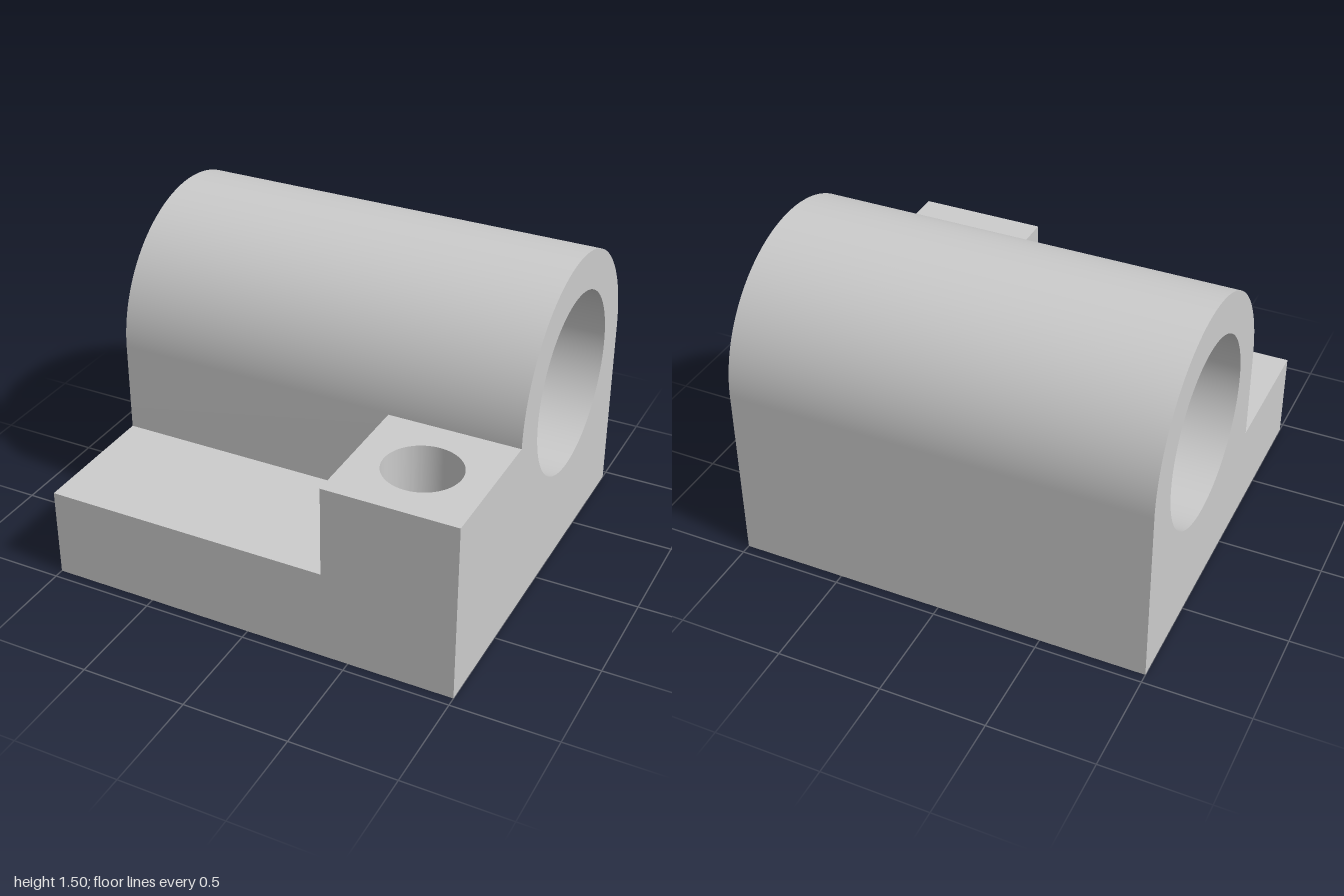
import * as THREE from 'three';
import { toCreasedNormals } from 'three/addons/utils/BufferGeometryUtils.js';

const HALF_X = 1, HALF_Z = 0.953;
const AXIS_Y = 0.875, AXIS_Z = -0.328, OUTER_R = 0.625, BORE_R = 0.4375;
const STEP_Z = AXIS_Z + OUTER_R;          // front of the housing, back of the flange
const LOW_H = 0.4375, PAD_H = 0.875, PAD_X = 0.37;
const BOLT_X = 0.685, BOLT_Z = 0.625, BOLT_R = 0.18;

const material = new THREE.MeshStandardMaterial({ color: 0xcccccc });

function extrude(shape, depth) {
  return new THREE.ExtrudeGeometry(shape, { depth, bevelEnabled: false, curveSegments: 64 });
}

function addHole(shape, x, y, r) {
  shape.holes.push(new THREE.Path().absarc(x, y, r, 0, Math.PI * 2, true));
}

export function createModel() {
  const group = new THREE.Group();
  const add = (name, geometry) => {
    const mesh = new THREE.Mesh(toCreasedNormals(geometry, 0.5), material);
    mesh.name = name;
    group.add(mesh);
  };

  // Round-topped housing with a bore through its whole length (shape x is -z)
  const profile = new THREE.Shape();
  profile.moveTo(-STEP_Z, 0);
  profile.lineTo(-AXIS_Z + OUTER_R, 0);
  profile.absarc(-AXIS_Z, AXIS_Y, OUTER_R, 0, Math.PI, false);
  profile.closePath();
  addHole(profile, -AXIS_Z, AXIS_Y, BORE_R);
  add('boredHousing', extrude(profile, 2 * HALF_X).rotateY(Math.PI / 2).translate(-HALF_X, 0, 0));

  // Low front flange
  const lowWidth = PAD_X + HALF_X, depth = HALF_Z - STEP_Z;
  add('lowFlange', new THREE.BoxGeometry(lowWidth, LOW_H, depth)
    .translate(-HALF_X + lowWidth / 2, LOW_H / 2, STEP_Z + depth / 2));

  // Raised bolt pad with a vertical through hole (shape y is -z)
  const pad = new THREE.Shape();
  pad.moveTo(PAD_X, -HALF_Z);
  pad.lineTo(HALF_X, -HALF_Z);
  pad.lineTo(HALF_X, -STEP_Z);
  pad.lineTo(PAD_X, -STEP_Z);
  pad.closePath();
  addHole(pad, BOLT_X, -BOLT_Z, BOLT_R);
  add('boltPad', extrude(pad, PAD_H).rotateX(-Math.PI / 2));

  return group;
}
